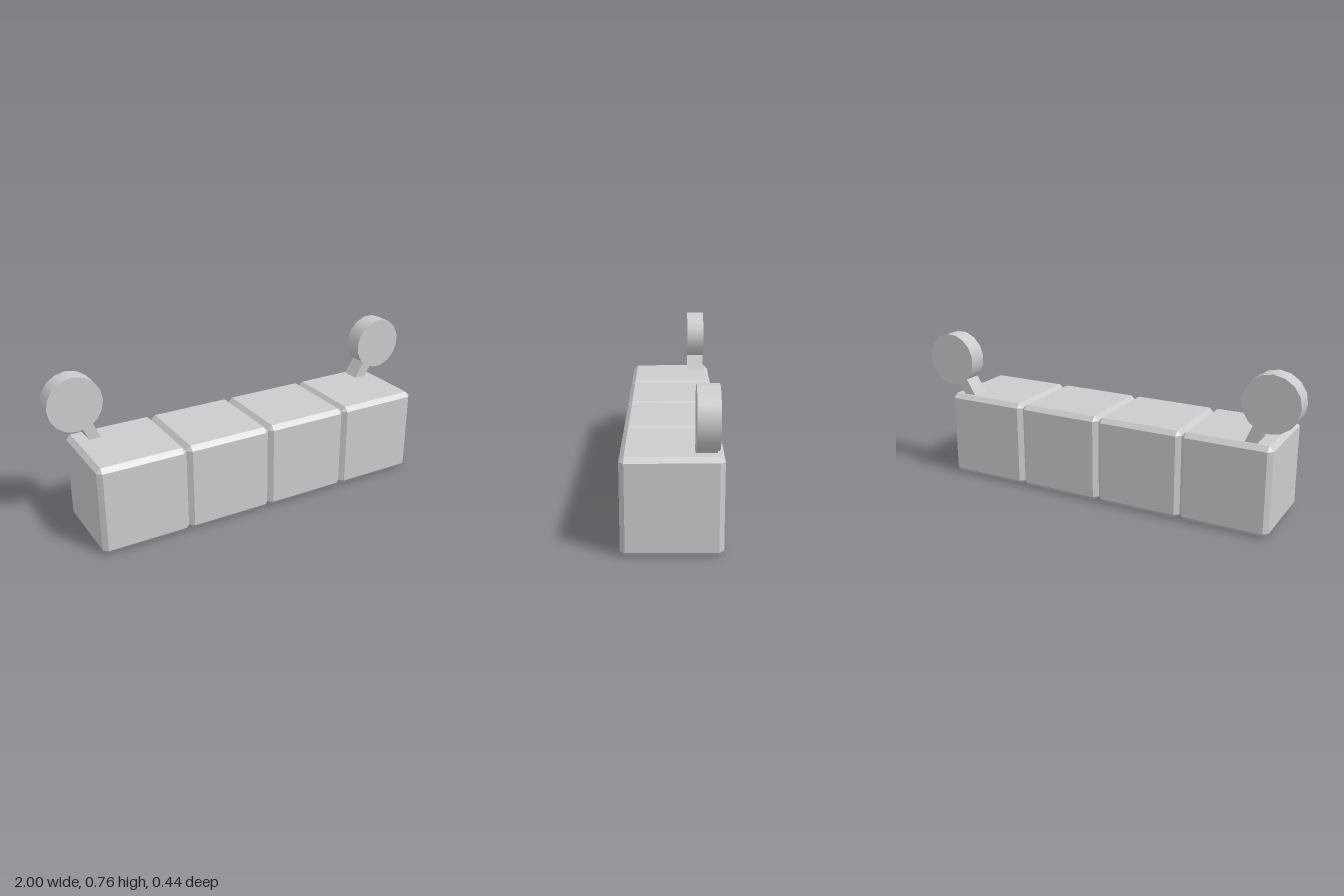
import * as THREE from 'three';
import { ConvexGeometry } from 'three/addons/geometries/ConvexGeometry.js';

const SIZE = 0.438;    // cube edge
const CHAMFER = 0.022;
const EAR_Z = -0.143;  // middle of the ears, towards the back
const EAR_DEPTH = 0.093;

const material = new THREE.MeshStandardMaterial({ color: 0xcccccc });

// Cube with chamfered edges and corners: the hull of its six inset faces
function chamferedCube(size, chamfer) {
  const h = size / 2, i = h - chamfer, points = [];
  for (const x of [-1, 1]) for (const y of [-1, 1]) for (const z of [-1, 1]) {
    points.push(
      new THREE.Vector3(x * h, y * i, z * i),
      new THREE.Vector3(x * i, y * h, z * i),
      new THREE.Vector3(x * i, y * i, z * h));
  }
  return new ConvexGeometry(points);
}

// Round disc on a short stem; the origin is the disc centre, the stem points down
function createEar(name, x, y, tilt) {
  const ear = new THREE.Group();
  ear.name = name;

  const disc = new THREE.Mesh(
    new THREE.CylinderGeometry(0.135, 0.135, EAR_DEPTH, 16).rotateX(Math.PI / 2), material);
  disc.name = 'earDisc';

  const stem = new THREE.Mesh(new THREE.BoxGeometry(0.054, 0.13, EAR_DEPTH - 0.001), material);
  stem.name = 'earStem';
  stem.position.y = -0.175;

  ear.add(disc, stem);
  ear.position.set(x, y, EAR_Z);
  ear.rotation.z = tilt;
  return ear;
}

export function createModel() {
  const model = new THREE.Group();
  model.name = 'cubeRow';

  // Row of four touching cubes
  const cube = chamferedCube(SIZE, CHAMFER);
  for (let n = 0; n < 4; n++) {
    const mesh = new THREE.Mesh(cube, material);
    mesh.name = `bodyCube${n + 1}`;
    mesh.position.set(-0.018 + (n - 1.5) * SIZE, SIZE / 2, 0);
    model.add(mesh);
  }

  // Ears leaning outwards at both ends
  model.add(createEar('rightEar', -0.866, 0.625, 0.41));
  model.add(createEar('leftEar', 0.865, 0.614, -0.55));
  return model;
}
